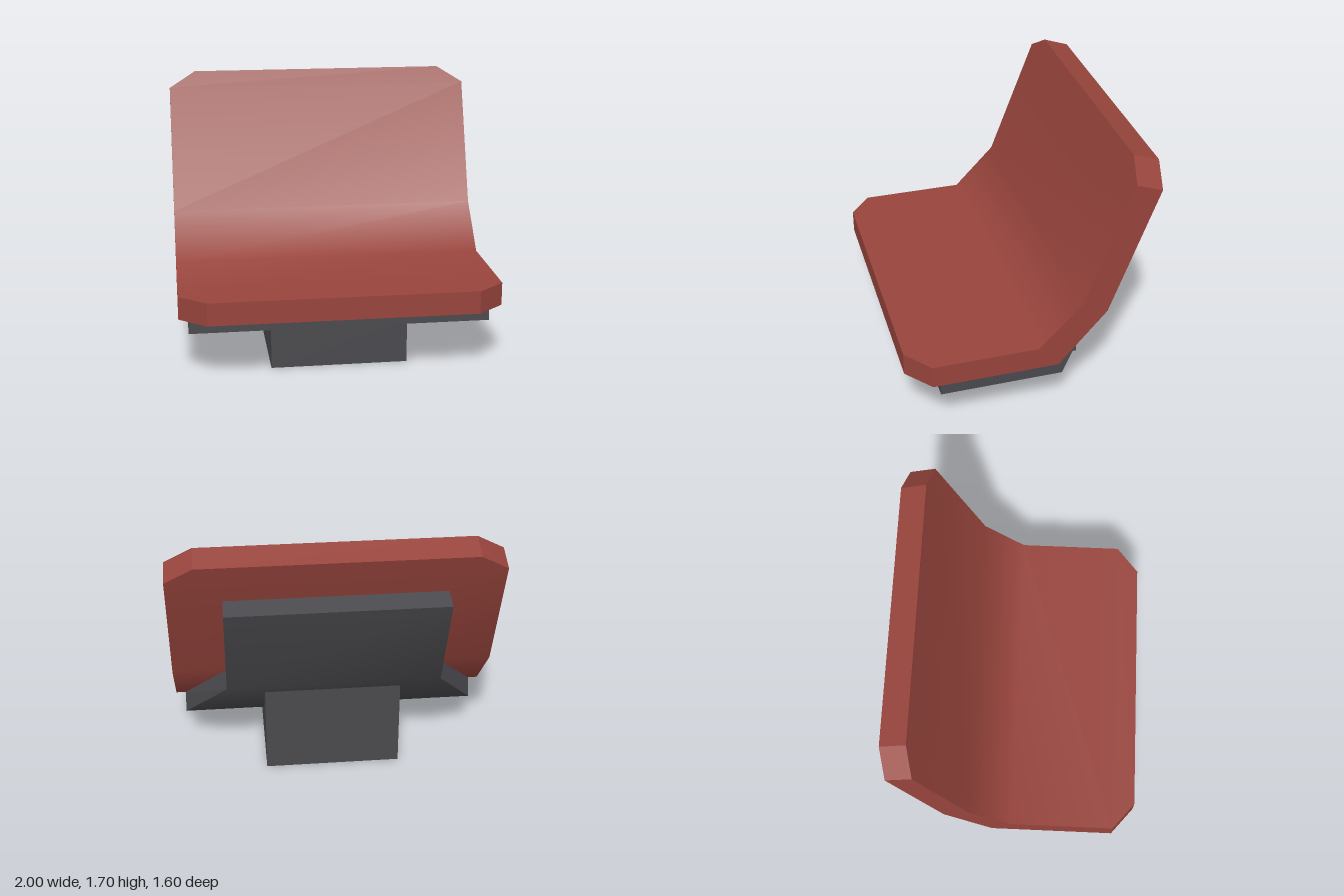
import * as THREE from 'three';
import { mergeGeometries } from 'three/addons/utils/BufferGeometryUtils.js';

// Strip of quads through a list of point pairs; smooth shares normals along it
function strip(pairs, smooth) {
  const index = [];
  for (let i = 0; i < pairs.length - 1; i++) {
    const p = i * 2;
    index.push(p, p + 1, p + 3, p, p + 3, p + 2);
  }
  let geo = new THREE.BufferGeometry();
  geo.setAttribute('position', new THREE.Float32BufferAttribute(pairs.flat(2), 3));
  geo.setIndex(index);
  if (smooth) geo.computeVertexNormals();
  geo = geo.toNonIndexed();
  if (!smooth) geo.computeVertexNormals();
  return geo;
}

// Bent slab from stations, front to back: [topZ, topY, bottomZ, bottomY, halfWidth]
function bentSlab(stations) {
  const rows = stations.map(([tz, ty, bz, by, w]) => ({
    tl: [-w, ty, tz], tr: [w, ty, tz], bl: [-w, by, bz], br: [w, by, bz],
  }));
  const first = rows[0], last = rows[rows.length - 1];
  return mergeGeometries([
    strip(rows.map((r) => [r.tl, r.tr]), true),
    strip(rows.map((r) => [r.br, r.bl]), true),
    strip(rows.map((r) => [r.tr, r.br]), false),
    strip(rows.map((r) => [r.bl, r.tl]), false),
    strip([[first.bl, first.br], [first.tl, first.tr]], false),
    strip([[last.br, last.bl], [last.tr, last.tl]], false),
  ]);
}

export function createModel() {
  const model = new THREE.Group();
  model.name = 'seat';
  const red = new THREE.MeshStandardMaterial({ color: 0x97443c });
  red.name = 'red upholstery';
  const grey = new THREE.MeshStandardMaterial({ color: 0x4a4a4e, side: THREE.DoubleSide });
  grey.name = 'dark grey frame';

  const add = (name, geo, mat, parent = model) => {
    const mesh = new THREE.Mesh(geo, mat);
    mesh.name = name;
    parent.add(mesh);
    return mesh;
  };

  // Seat and backrest in one cushion, with cut corners at both ends
  add('cushion', bentSlab([
    [0.8, 0.545, 0.8, 0.4, 0.83],
    [0.66, 0.545, 0.66, 0.4, 1],
    [0, 0.545, -0.125, 0.4, 1],
    [-0.265, 0.82, -0.425, 0.745, 1],
    [-0.56, 1.597, -0.72, 1.542, 1],
    [-0.597, 1.7, -0.757, 1.645, 0.83],
  ]), red);

  // Support shell under the cushion, narrower behind the backrest
  add('supportShell', bentSlab([
    [0.6, 0.4, 0.6, 0.28, 0.94],
    [-0.125, 0.4, -0.17, 0.28, 0.94],
    [-0.425, 0.745, -0.54, 0.68, 0.67],
    [-0.656, 1.375, -0.795, 1.345, 0.67],
  ]), grey);

  // Hollow pedestal, open underneath, its walls meeting the shell
  const base = new THREE.Group();
  base.name = 'pedestal';
  model.add(base);
  const w = 0.43, front = 0.53, back = -0.45;
  const side = new THREE.Shape([
    [-front, 0], [-back, 0], [-back, 0.585], [0.17, 0.28], [-front, 0.28],
  ].map(([x, y]) => new THREE.Vector2(x, y)));
  for (const s of [1, -1]) {
    const wall = add(s > 0 ? 'leftWall' : 'rightWall', new THREE.ShapeGeometry(side), grey, base);
    wall.rotation.y = Math.PI / 2;
    wall.position.x = s * w;
  }
  add('frontWall', strip([[[-w, 0, front], [w, 0, front]],
    [[-w, 0.28, front], [w, 0.28, front]]], false), grey, base);
  add('backWall', strip([[[w, 0, back], [-w, 0, back]],
    [[w, 0.585, back], [-w, 0.585, back]]], false), grey, base);

  return model;
}
